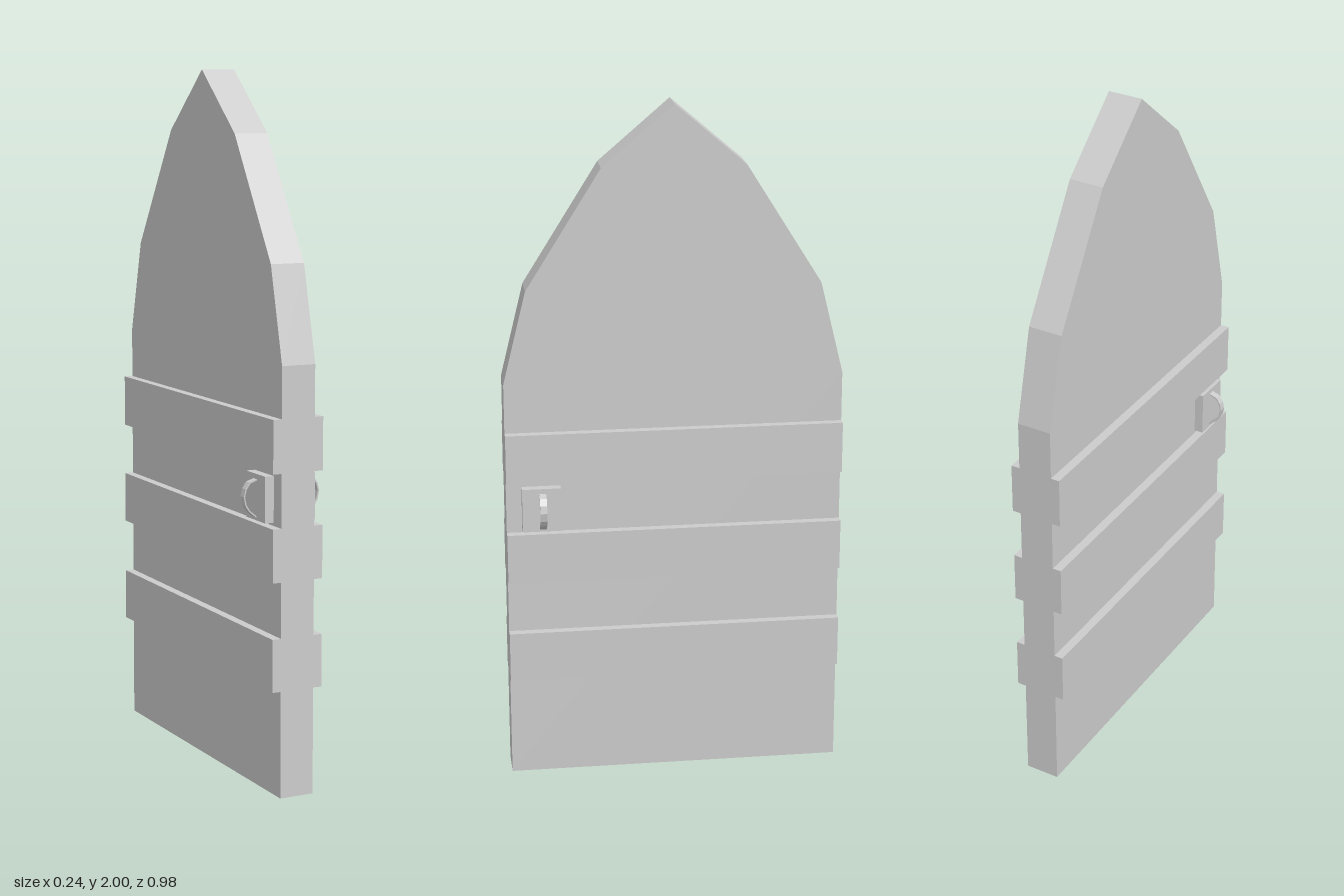
import * as THREE from 'three';

const material = new THREE.MeshStandardMaterial({ color: 0xcccccc, flatShading: true, side: THREE.DoubleSide });

function addMesh(parent, name, geometry, x = 0, y = 0, z = 0) {
  const mesh = new THREE.Mesh(geometry, material);
  mesh.name = name;
  mesh.position.set(x, y, z);
  parent.add(mesh);
  return mesh;
}

export function createModel() {
  const door = new THREE.Group();
  door.name = 'archedDoor';

  // Pointed panel: half outline (z, y), mirrored, extruded through x
  const half = [[0.489, 0], [0.489, 1.21], [0.422, 1.48], [0.205, 1.825]];
  const outline = [...half, [0, 2], ...half.map(([z, y]) => [-z, y]).reverse()];
  const panel = new THREE.ExtrudeGeometry(
    new THREE.Shape(outline.map(([z, y]) => new THREE.Vector2(z, y))),
    { depth: 0.102, bevelEnabled: false });
  panel.translate(0, 0, -0.051).rotateY(-Math.PI / 2);
  addMesh(door, 'panel', panel);

  // Cross bands wrapping both faces
  for (const y of [0.38, 0.688, 0.99]) {
    addMesh(door, 'crossBand', new THREE.BoxGeometry(0.154, 0.15, 0.978), 0, y, 0);
  }

  // Bowed strip handle: outer curve, then the inner curve back
  const outer = [[0, 0.888], [0.024, 0.88], [0.036, 0.862], [0.041, 0.84], [0.036, 0.815], [0.024, 0.797], [0, 0.778]];
  const inner = [[0, 0.783], [0.021, 0.8], [0.032, 0.817], [0.037, 0.84], [0.032, 0.86], [0.021, 0.876], [0, 0.884]];
  const strip = new THREE.Shape([...outer, ...inner].map(([x, y]) => new THREE.Vector2(x, y)));

  // One plate and handle on each face
  for (const side of [1, -1]) {
    const latch = new THREE.Group();
    latch.name = side > 0 ? 'leftLatch' : 'rightLatch';
    addMesh(latch, 'plate', new THREE.BoxGeometry(0.029, 0.13, 0.112), side * 0.0635, 0.837, 0.388);
    const handle = new THREE.ExtrudeGeometry(strip, { depth: 0.02, bevelEnabled: false });
    handle.translate(0, 0, -0.01);
    if (side < 0) handle.rotateY(Math.PI);
    addMesh(latch, 'handle', handle, side * 0.077, 0, 0.385);
    door.add(latch);
  }
  return door;
}
